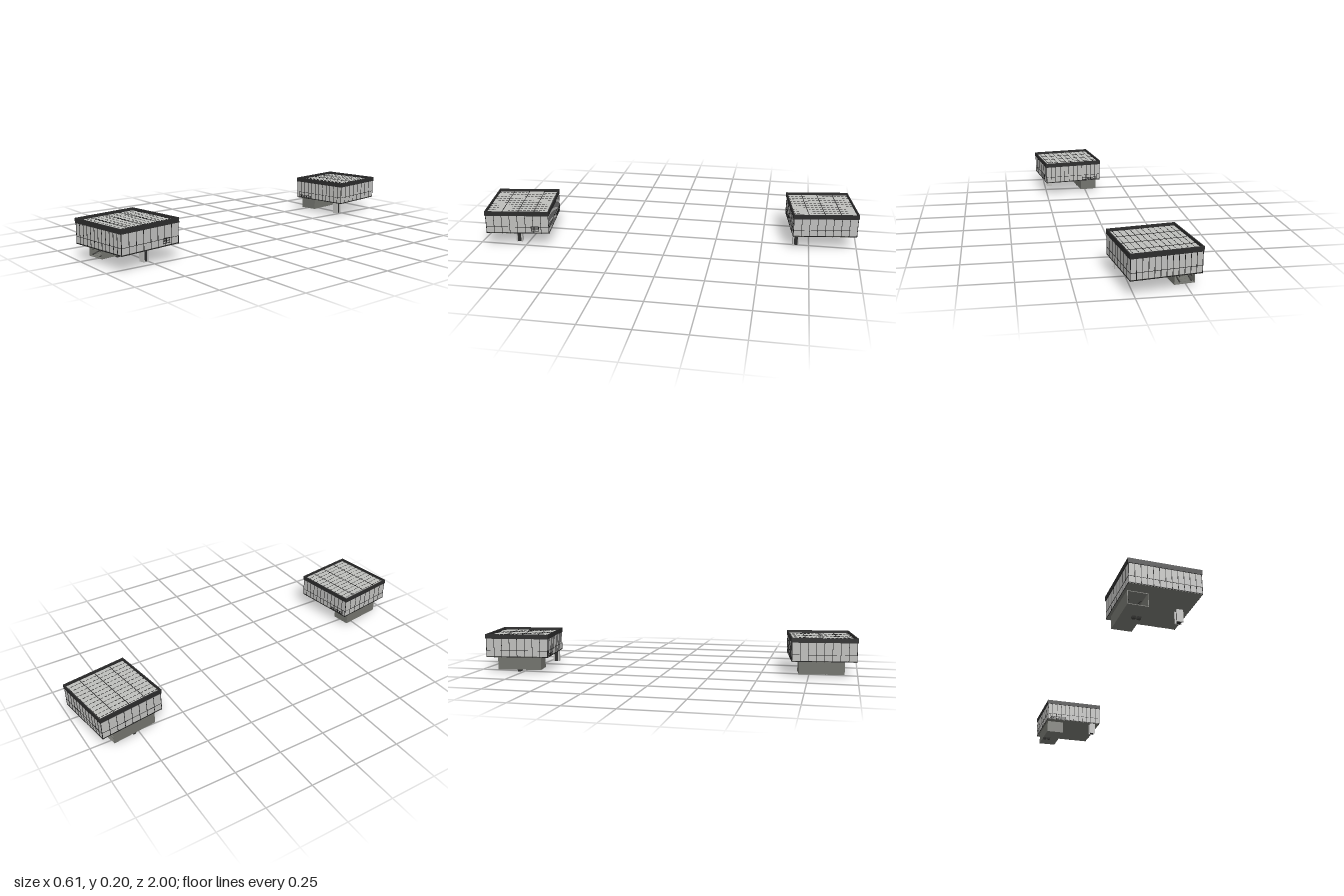
import * as THREE from 'three';
import { mergeGeometries } from 'three/addons/utils/BufferGeometryUtils.js';

const mat = (name, color, side = THREE.FrontSide) => {
  const m = new THREE.MeshStandardMaterial({ color, side });
  m.name = name;
  return m;
};

// box geometry from its minimum and maximum corners
function span(x0, x1, y0, y1, z0, z1) {
  return new THREE.BoxGeometry(Math.abs(x1 - x0), Math.abs(y1 - y0), Math.abs(z1 - z0))
    .translate((x0 + x1) / 2, (y0 + y1) / 2, (z0 + z1) / 2);
}

// thin square bar between two points
function bar(a, b, t) {
  const p = new THREE.Vector3(...a), q = new THREE.Vector3(...b);
  const dir = q.clone().sub(p);
  const g = new THREE.BoxGeometry(t, t, dir.length());
  g.applyQuaternion(new THREE.Quaternion().setFromUnitVectors(new THREE.Vector3(0, 0, 1), dir.normalize()));
  return g.translate((p.x + q.x) / 2, (p.y + q.y) / 2, (p.z + q.z) / 2);
}

export function createModel() {
  const glass = mat('pale glass', 0xbfbfbd);
  const roofPale = mat('pale roof', 0xbdbebb);
  const frame = mat('black frame', 0x1b1b1b);
  const fascia = mat('charcoal fascia', 0x2c2c2c);
  const wall = mat('grey concrete', 0x72736d);
  const stairMat = mat('dark stair', 0x3c3c3a);

  // s = 1: stairwell opens to +z, s = -1: it opens to -z
  function pavilion(name, w, d, s, post, feet, sideRail) {
    const g = new THREE.Group();
    g.name = name;
    const add = (part, geos, m) => {
      const mesh = new THREE.Mesh(geos.length > 1 ? mergeGeometries(geos) : geos[0], m);
      mesh.name = part;
      g.add(mesh);
    };
    const X = w / 2, Z = d / 2, gx = X - 0.004, gz = Z - 0.004;
    const y0 = 0.077, yMid = 0.114, yTop = 0.179, yMax = 0.202;

    // floor slab, glazed hall and recessed roof
    add('floorSlab', [span(-gx, gx, y0, 0.083, -gz, gz)], wall);
    add('glazing', [span(-gx, gx, 0.083, yTop, -gz, gz)], glass);
    add('roofPanel', [span(-X + 0.005, X - 0.005, yTop, 0.188, -Z + 0.005, Z - 0.005)], roofPale);

    // parapet band around the roof
    const t = 0.006;
    add('parapet', [
      span(-X, X, 0.178, yMax, Z - t, Z), span(-X, X, 0.178, yMax, -Z, -Z + t),
      span(-X, -X + t, 0.178, yMax, -Z + t, Z - t), span(X - t, X, 0.178, yMax, -Z + t, Z - t),
    ], fascia);

    // mullions and transoms
    const m = [], h = 0.0012, e = 0.0015;
    for (let i = 0; i <= 12; i++) {
      const x = -gx + (2 * gx * i) / 12;
      for (const k of [-1, 1]) m.push(span(x - h, x + h, y0, yTop, k * (gz - e), k * (gz + e)));
    }
    for (let i = 0; i <= 8; i++) {
      const z = -gz + (2 * gz * i) / 8;
      for (const k of [-1, 1]) m.push(span(k * (gx - e), k * (gx + e), y0, yTop, z - h, z + h));
    }
    for (const [y, r] of [[0.08, 0.0018], [yMid, 0.0009]]) {
      for (const k of [-1, 1]) {
        m.push(span(-gx - e, gx + e, y - r, y + r, k * (gz - e), k * (gz + e)));
        m.push(span(k * (gx - e), k * (gx + e), y - r, y + r, -gz - e, gz + e));
      }
    }
    add('mullions', m, frame);

    // roof seams: solid across, dashed along
    const seams = [], ry = 0.1875, rt = 0.1892;
    for (let i = 1; i < 4; i++) {
      const z = -Z + (d * i) / 4;
      seams.push(span(-X + t, X - t, ry, rt, z - 0.0015, z + 0.0015));
    }
    for (let i = 1; i < 12; i++) {
      const x = -X + (w * i) / 12;
      for (let j = 0; j < 16; j++) {
        const z = -Z + (d * (j + 0.5)) / 16;
        seams.push(span(x - 0.0012, x + 0.0012, ry, rt, z - 0.007, z + 0.007));
      }
    }
    add('roofSeams', seams, frame);

    // stairwell tub hanging below the floor, open at one end
    const a = -0.158, b = -0.06, near = 0.107 * s, far = -0.128 * s, k = 0.003, by = 0.01;
    add('stairwell', [
      span(a, b, by, by + k, near, far),
      span(a, a + k, by, y0, near, far), span(b - k, b, by, y0, near, far),
      span(a, b, by, y0, far, far + k * s),
      ...(s < 0 ? [] : [span(a, b, y0 - k, y0, near, near - k)]),
    ], wall);

    // flight of stairs climbing away from the open end
    const steps = [], n = 13, c0 = a + 0.012, c1 = b - 0.03;
    for (let i = 0; i < n; i++) {
      const y = by + 0.005 + (i * (y0 - by - 0.008)) / n, z = s * (0.095 - (0.2 * i) / n);
      steps.push(span(c0, c1, y, y + 0.0015, z, z - s * 0.014));
    }
    add('stairTreads', steps, wall);
    const rails = [];
    for (const x of [c0, c1]) {
      rails.push(bar([x, by + 0.006, s * 0.098], [x, y0 - 0.002, s * -0.108], 0.005));
      rails.push(bar([x, by + 0.03, s * 0.098], [x, y0 - 0.002, s * -0.04], 0.003));
    }
    add('stairStringers', rails, stairMat);

    // guard rail at the stair head
    const guard = [], zf = -s * (gz + 0.001);
    for (const y of [0.086, 0.096]) guard.push(bar([a + 0.006, y, zf], [b, y, zf], 0.0025));
    for (let i = 0; i <= 5; i++) {
      const x = a + 0.008 + i * 0.0175;
      guard.push(bar([x, 0.083, zf], [x, i % 2 ? 0.096 : yMid, zf], 0.0018));
      if (i < 4) guard.push(bar([x, 0.083, zf], [x + 0.008, 0.096, zf], 0.0018));
    }
    if (sideRail) {
      const xf = gx + 0.001;
      for (const y of [0.092, 0.104, 0.116]) guard.push(bar([xf, y, -0.112], [xf, y, -0.072], 0.0025));
      for (const z of [-0.112, -0.092, -0.072]) guard.push(bar([xf, 0.09, z], [xf, 0.118, z], 0.0025));
    }
    add('guardRail', guard, frame);

    // support post: two pale plates around a dark core
    const [px, pz] = post, q = 0.016;
    add('postPlates', [-1, 1].map(j =>
      span(px - q, px + q, 0.015, y0, pz + j * q, pz + j * (q - 0.006))), glass);
    add('postCore', [span(px - 0.009, px + 0.009, 0.015, y0, pz - 0.011, pz + 0.011)], fascia);

    // small tapered feet under the stairwell
    add('feet', feet.map(x => new THREE.CylinderGeometry(0.0135, 0.011, 0.0105, 4, 1)
      .rotateY(Math.PI / 4).translate(x, 0.00525, 0.008)), stairMat);
    return g;
  }

  const model = new THREE.Group();
  model.name = 'pavilions';
  const front = pavilion('frontPavilion', 0.348, 0.34, 1, [0.122, 0.003], [-0.096, -0.072], true);
  front.position.set(0.106, 0, 0.805);
  const back = pavilion('backPavilion', 0.338, 0.342, -1, [0.122, 0.146], [-0.148, -0.124], false);
  back.position.set(-0.117, 0, -0.806);
  for (const p of [front, back]) p.rotation.y = 0.143;
  model.add(front, back);
  return model;
}
